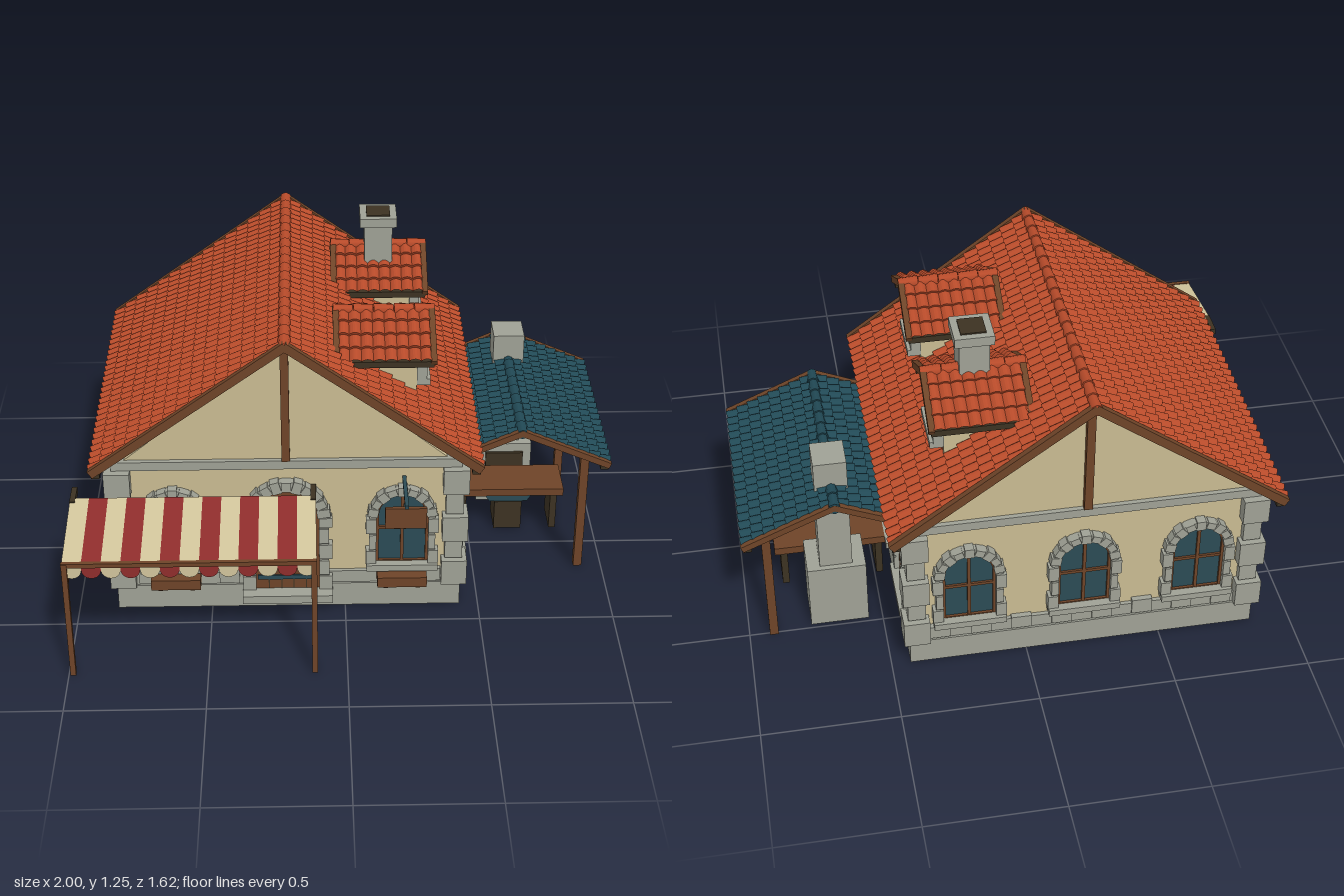
import * as THREE from 'three';

const mat = (name, color, double) => {
  const m = new THREE.MeshStandardMaterial({ color });
  m.name = name;
  if (double) m.side = THREE.DoubleSide;
  return m;
};

export function createModel() {
  const M = {
    stone: mat('stone', 0x9fa195),
    plaster: mat('plaster', 0xc9bb92),
    wood: mat('wood', 0x6e4428),
    dark: mat('darkWood', 0x3c3222),
    clay: mat('clayTile', 0xb84b2a, true),
    slate: mat('tealTile', 0x214955, true),
    glass: mat('glass', 0x2b4b55),
    red: mat('redCloth', 0x8f2d2c, true),
    cloth: mat('creamCloth', 0xd2c59c, true),
  };
  const root = new THREE.Group();
  root.name = 'tavern';

  const add = (parent, name, geo, m) => {
    const mesh = new THREE.Mesh(geo, m);
    mesh.name = name;
    parent.add(mesh);
    return mesh;
  };
  // Box given by its min and max on each axis
  const box = (p, name, m, x0, x1, y0, y1, z0, z1) => {
    const b = add(p, name, new THREE.BoxGeometry(x1 - x0, y1 - y0, z1 - z0), m);
    b.position.set((x0 + x1) / 2, (y0 + y1) / 2, (z0 + z1) / 2);
    return b;
  };
  const group = (name, x = 0, y = 0, z = 0, ry = 0, parent = root) => {
    const g = new THREE.Group();
    g.name = name;
    g.position.set(x, y, z);
    g.rotation.y = ry;
    parent.add(g);
    return g;
  };
  const extrude = (p, name, m, shape, depth, z = 0) => {
    const e = add(p, name, new THREE.ExtrudeGeometry(shape, { depth, bevelEnabled: false, curveSegments: 12 }), m);
    e.position.z = z;
    return e;
  };
  const polygon = pts => new THREE.Shape(pts.map(([x, y]) => new THREE.Vector2(x, y)));
  const arch = (r, y0, ys) => {
    const s = new THREE.Shape();
    s.moveTo(-r, y0);
    s.lineTo(r, y0);
    s.lineTo(r, ys);
    s.absarc(0, ys, r, 0, Math.PI, false);
    s.closePath();
    return s;
  };

  // Stepped rows of rounded tiles, sloping down toward +x
  function tileSheet(run, drop, len, cols, rows) {
    const L = Math.hypot(run, drop), n = cols * 6, pos = [], idx = [];
    for (let i = 0; i < rows * 2; i++) {
      const t = Math.ceil(i / 2) / rows, lift = i % 2 ? 0.013 : 0;
      for (let j = 0; j <= n; j++) {
        const h = lift + 0.013 * Math.abs(Math.sin(Math.PI * j / 6));
        pos.push(run * t + h * drop / L, -drop * t + h * run / L, (j / n - 0.5) * len);
      }
    }
    for (let i = 0; i < rows * 2 - 1; i++) for (let j = 0; j < n; j++) {
      const a = i * (n + 1) + j, c = a + n + 1;
      idx.push(a, a + 1, c, a + 1, c + 1, c);
    }
    const g = new THREE.BufferGeometry();
    g.setAttribute('position', new THREE.Float32BufferAttribute(pos, 3));
    g.setIndex(idx);
    const flat = g.toNonIndexed();
    flat.computeVertexNormals();
    return flat;
  }

  // Pitched roof with its ridge along local z; each side is [run, drop, rows]
  function pitchedRoof(g, m, sides, len, cols, th) {
    sides.forEach(([run, drop, rows], k) => {
      const s = group(k ? 'leftSlope' : 'rightSlope', 0, 0, 0, k * Math.PI, g);
      add(s, 'tiles', tileSheet(run, drop, len - 0.03, cols, rows), m);
      for (const e of [-1, 1]) {
        const b = add(s, 'bargeBoard', new THREE.BoxGeometry(Math.hypot(run, drop) + 0.01, th, 0.022), M.wood);
        b.position.set(run / 2, -drop / 2 + 0.003, e * (len / 2 - 0.011));
        b.rotation.z = -Math.atan2(drop, run);
      }
      box(s, 'eaveBoard', M.dark, run - 0.03, run, -drop - 0.02, -drop + 0.004, -len / 2 + 0.01, len / 2 - 0.01);
    });
    const caps = Math.round(len / 0.07);
    for (let i = 0; i < caps; i++) {
      const c = add(g, 'ridgeTile', new THREE.CylinderGeometry(0.019, 0.023, len / caps - 0.002, 8), m);
      c.rotation.x = Math.PI / 2;
      c.position.z = (i + 0.5) * len / caps - len / 2;
    }
  }

  // Stone-framed arched opening facing local +z
  function surround(g, r, R, y0, ys, stones) {
    const ring = arch(R, y0, ys);
    ring.holes.push(arch(r, y0 + 0.001, ys));
    extrude(g, 'stoneSurround', M.stone, ring, 0.03);
    for (let i = 0; i < stones; i++) {
      const a = Math.PI * (i + 0.5) / stones, rad = (r + R) / 2;
      const v = add(g, 'archStone', new THREE.BoxGeometry(R - r + (i % 2 ? 0.002 : 0.012), Math.PI * rad / stones * 0.88, 0.04), M.stone);
      v.position.set(Math.cos(a) * rad, ys + Math.sin(a) * rad, 0.016);
      v.rotation.z = a;
    }
    for (const s of [-1, 1]) for (let y = y0, i = 0; y < ys - 0.03; y += 0.07, i++) {
      const o = R + (i % 2 ? 0 : 0.012);
      box(g, 'jambStone', M.stone, Math.min(s * r, s * o), Math.max(s * r, s * o), y, Math.min(y + 0.062, ys), 0, 0.037);
    }
  }
  function archWindow(g, r, R, y0, ys) {
    extrude(g, 'glass', M.glass, arch(r, y0, ys), 0.008);
    const frame = arch(r, y0, ys);
    frame.holes.push(arch(r - 0.01, y0 + 0.01, ys));
    extrude(g, 'windowFrame', M.wood, frame, 0.018);
    box(g, 'mullion', M.wood, -0.006, 0.006, y0, ys + r - 0.004, 0, 0.017);
    const ym = y0 + (ys + r - y0) * 0.5;
    box(g, 'crossBar', M.wood, -r, r, ym - 0.006, ym + 0.006, 0, 0.016);
    surround(g, r, R, y0, ys, 9);
    box(g, 'sill', M.stone, -R - 0.01, R + 0.01, y0 - 0.02, y0 + 0.006, 0, 0.05);
  }

  // House body
  const house = group('house');
  box(house, 'plinth', M.stone, -0.853, 0.43, 0, 0.1, -0.74, 0.4);
  box(house, 'plinthCourse', M.stone, -0.845, 0.422, 0.1, 0.15, -0.732, 0.392);
  box(house, 'walls', M.plaster, -0.83, 0.407, 0.12, 0.61, -0.717, 0.377);
  box(house, 'wallBand', M.stone, -0.848, 0.425, 0.605, 0.64, -0.735, 0.395);
  const gable = polygon([[-0.8, 0.64], [0.37, 0.64], [-0.215, 1.115]]);
  extrude(house, 'backGable', M.plaster, gable, 0.04, -0.717);
  extrude(house, 'frontGable', M.plaster, gable, 0.04, 0.337);
  box(house, 'frontGablePost', M.wood, -0.23, -0.2, 0.64, 1.11, 0.37, 0.4);
  box(house, 'backGablePost', M.wood, -0.23, -0.2, 0.64, 1.11, -0.74, -0.71);
  for (let i = 0; i < 8; i++) {
    const x = -0.77 + i * 0.15;
    for (const z of [-0.725, 0.385]) if (z < 0 || Math.abs(x + 0.215) > 0.2)
      box(house, 'courseStone', M.stone, x, x + 0.075, 0.105, i % 2 ? 0.158 : 0.168, z - 0.013, z + 0.013);
  }
  for (let i = 0; i < 7; i++) for (const x of [-0.838, 0.415]) {
    const z = -0.66 + i * 0.145;
    box(house, 'courseStone', M.stone, x - 0.013, x + 0.013, 0.105, i % 2 ? 0.158 : 0.168, z, z + 0.075);
  }

  // Corner stones, alternating large and small
  const levels = [0.1, 0.21, 0.295, 0.405, 0.5, 0.607];
  for (const sx of [-1, 1]) for (const sz of [-1, 1]) for (let i = 0; i < 5; i++) {
    const big = i % 2 === 0, w = big ? 0.095 : 0.065, o = big ? 0.022 : 0.004;
    const q = add(house, 'cornerStone', new THREE.BoxGeometry(w, levels[i + 1] - levels[i] - 0.005, w), M.stone);
    q.position.set(-0.2115 + sx * (0.6415 + o - w / 2), (levels[i] + levels[i + 1]) / 2, -0.17 + sz * (0.57 + o - w / 2));
  }

  // Wall windows
  const win = (x, z, ry) => {
    const g = group('archedWindow', x, 0, z, ry);
    archWindow(g, 0.096, 0.122, 0.19, 0.4);
    return g;
  };
  for (const x of [-0.63, 0.21]) {
    const g = win(x, 0.377, 0);
    box(g, 'flowerBox', M.wood, -0.092, 0.092, 0.118, 0.16, 0.015, 0.08);
    for (const s of [-0.06, 0.06]) box(g, 'flowerBoxBracket', M.wood, s - 0.008, s + 0.008, 0.1, 0.12, 0.015, 0.06);
  }
  for (const x of [-0.63, -0.21, 0.21]) win(x, -0.717, Math.PI);
  for (const z of [0.2, -0.17, -0.54]) {
    win(0.407, z, Math.PI / 2);
    win(-0.83, z, -Math.PI / 2);
  }

  // Front door
  const door = group('door', -0.215, 0, 0.377);
  extrude(door, 'doorLeaf', M.wood, arch(0.118, 0.08, 0.4), 0.025);
  for (const x of [-0.07, -0.023, 0.023, 0.07]) box(door, 'plankGap', M.dark, x - 0.002, x + 0.002, 0.08, 0.49, 0.02, 0.0265);
  for (const y of [0.135, 0.285]) box(door, 'strapHinge', M.glass, -0.112, 0.1, y - 0.009, y + 0.009, 0.02, 0.031);
  const knob = add(door, 'doorKnob', new THREE.SphereGeometry(0.012, 10, 8), M.dark);
  knob.position.set(0.045, 0.24, 0.034);
  surround(door, 0.118, 0.155, 0.08, 0.4, 11);
  box(door, 'doorStep', M.stone, -0.168, 0.168, 0.05, 0.083, 0, 0.08);

  // Hanging sign
  const sign = group('hangingSign', 0.215, 0, 0);
  box(sign, 'signArm', M.glass, -0.007, 0.007, 0.548, 0.562, 0.38, 0.58);
  box(sign, 'signHanger', M.dark, -0.004, 0.004, 0.52, 0.55, 0.531, 0.539);
  box(sign, 'signBoard', M.wood, -0.075, 0.075, 0.44, 0.525, 0.528, 0.543);

  // Main roof
  const roof = group('mainRoof', -0.213, 1.135, -0.178);
  pitchedRoof(roof, M.clay, [[0.7, 0.51, 15], [0.7, 0.51, 15]], 1.266, 29, 0.032);

  // Dormers
  for (const z of [0.1, -0.447]) {
    const d = group('dormer', 0, 0, z, Math.PI / 2);
    extrude(d, 'dormerWall', M.plaster, polygon([[-0.1, 0.74], [0.1, 0.74], [0.1, 0.98], [0, 1.085], [-0.1, 0.98]]), 0.25, 0.015);
    archWindow(group('dormerWindow', 0, 0, 0.265, 0, d), 0.072, 0.094, 0.86, 0.95);
    const r = group('dormerRoof', 0, 1.1, 0.145, 0, d);
    pitchedRoof(r, M.clay, [[0.197, 0.115, 4], [0.197, 0.115, 4]], 0.37, 8, 0.026);
    for (const s of [-1, 1]) for (let i = 0; i < 5; i++)
      box(d, 'rafterEnd', M.dark, s * 0.14 - 0.04, s * 0.14 + 0.04, 0.966, 0.98, 0.06 + i * 0.055, 0.078 + i * 0.055);
  }

  // Main chimney
  const chimney = group('chimney', 0.143, 0, -0.42);
  box(chimney, 'chimneyStack', M.stone, -0.053, 0.053, 0.84, 1.22, -0.06, 0.06);
  box(chimney, 'chimneyCap', M.stone, -0.07, 0.07, 1.212, 1.248, -0.07, 0.07);
  box(chimney, 'flue', M.dark, -0.045, 0.045, 1.24, 1.253, -0.045, 0.045);

  // Lean-to roof and posts
  const shed = group('patioRoof', 0.66, 0.638, -0.175);
  pitchedRoof(shed, M.slate, [[0.33, 0.143, 8], [0.225, 0.1, 5]], 0.81, 18, 0.024);
  for (const z of [0.15, -0.495]) box(root, 'patioPost', M.wood, 0.893, 0.925, 0, 0.505, z - 0.016, z + 0.016);

  // Outdoor oven
  const oven = group('oven', 0.66, 0, -0.395);
  box(oven, 'ovenBody', M.stone, -0.108, 0.108, 0, 0.268, -0.088, 0.088);
  box(oven, 'ovenChimney', M.stone, -0.06, 0.06, 0.268, 0.747, -0.067, 0.06);
  box(oven, 'ovenMouth', M.dark, -0.075, 0.075, 0.13, 0.232, 0.08, 0.1);

  // Work table with basin
  const table = group('workTable', 0.66, 0, -0.17);
  box(table, 'tableTop', M.wood, -0.215, 0.215, 0.165, 0.196, -0.09, 0.09);
  for (const s of [-0.18, 0.18]) box(table, 'tableLeg', M.dark, s - 0.013, s + 0.013, 0, 0.165, -0.07, 0.07);
  box(table, 'basinSupport', M.dark, -0.054, 0.054, 0, 0.125, -0.07, 0.07);
  extrude(table, 'basin', M.glass, polygon([[-0.075, 0.125], [0.075, 0.125], [0.1, 0.165], [-0.1, 0.165]]), 0.13, -0.065);

  // Striped awning with scalloped edge
  const awning = group('awning');
  const n = 13, x0 = -0.993, w = 0.885 / n;
  const slope = Math.atan2(0.05, 0.345);
  for (let i = 0; i < n; i++) {
    const m = i % 2 ? M.red : M.cloth, x = x0 + (i + 0.5) * w;
    const s = add(awning, 'awningStripe', new THREE.PlaneGeometry(w, Math.hypot(0.05, 0.345)), m);
    s.rotation.x = -Math.PI / 2 + slope;
    s.position.set(x, 0.505, 0.6275);
    const half = new THREE.Shape();
    half.moveTo(-w / 2, 0.02);
    half.lineTo(-w / 2, 0);
    half.absellipse(0, 0, w / 2, 0.035, Math.PI, Math.PI * 2, false);
    half.lineTo(w / 2, 0.02);
    add(awning, 'scallop', new THREE.ShapeGeometry(half, 8), m).position.set(x, 0.455, 0.797);
  }
  box(awning, 'awningRail', M.wood, -0.995, -0.107, 0.468, 0.485, 0.787, 0.803);
  for (const x of [-0.984, -0.117]) {
    box(awning, 'awningPost', M.wood, x - 0.01, x + 0.01, 0, 0.483, 0.785, 0.805);
    const b = add(awning, 'awningBrace', new THREE.BoxGeometry(0.013, 0.013, Math.hypot(0.153, 0.34)), M.wood);
    b.position.set(x, 0.4435, 0.625);
    b.rotation.x = Math.atan2(0.153, 0.34);
    box(awning, 'wallBracket', M.dark, x - 0.01, x + 0.01, 0.505, 0.53, 0.38, 0.48);
  }
  return root;
}
